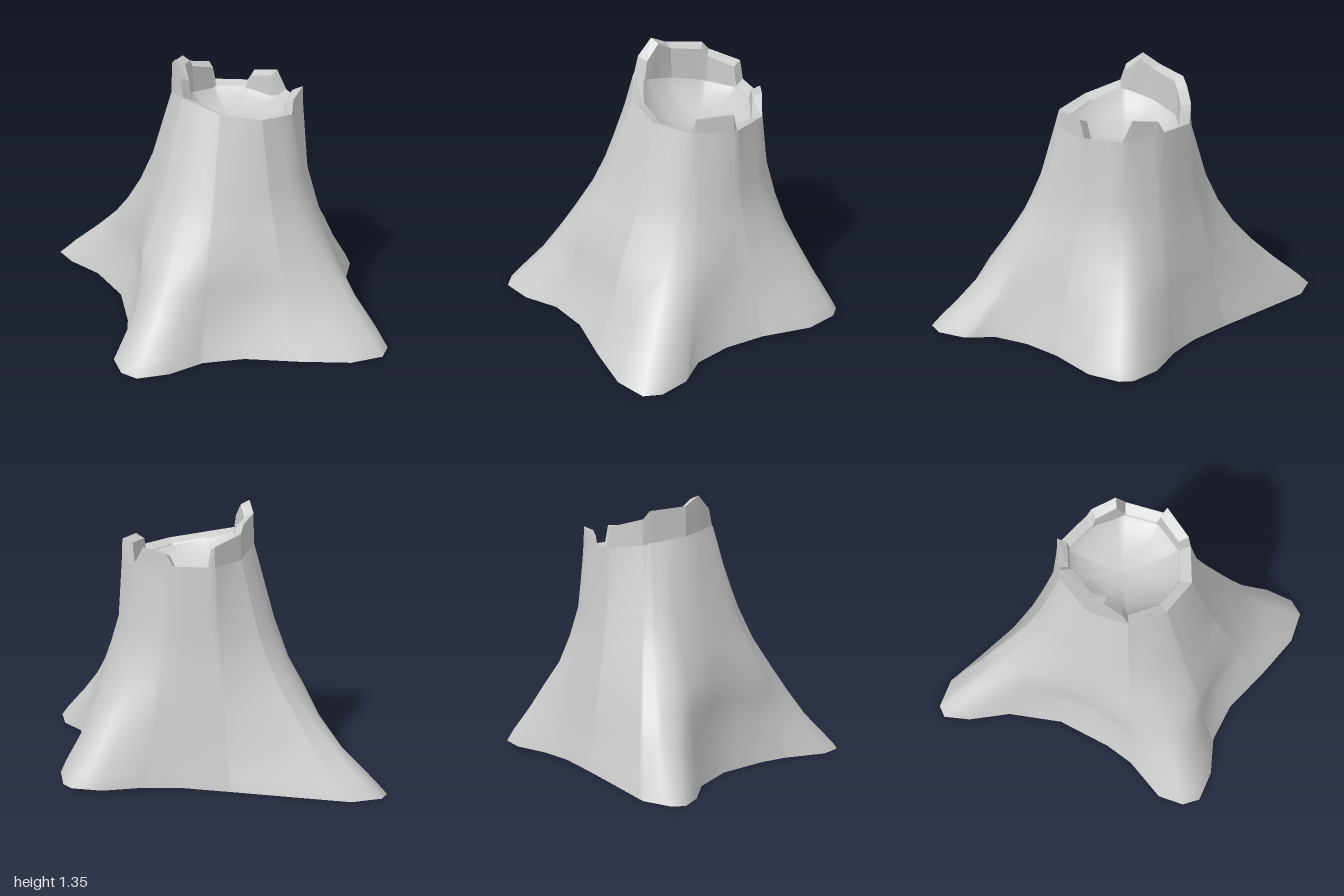
import * as THREE from 'three';

const CX = 0.09; // axis of the trunk
const TAU = Math.PI * 2;

// Footprint of the roots: [x, z]
const base = [
  [0.86, 0.01], [0.79, 0.15], [0.6, 0.32], [0.47, 0.48], [0.39, 0.65], [0.4, 0.81],
  [0.34, 0.95], [0.26, 1], [0.1, 0.95], [-0.1, 0.79], [-0.3, 0.61], [-0.49, 0.52],
  [-0.68, 0.51], [-0.83, 0.45], [-0.86, 0.36], [-0.82, 0.23], [-0.64, 0.07], [-0.55, -0.06],
  [-0.42, -0.33], [-0.39, -0.61], [-0.43, -0.83], [-0.42, -0.97], [-0.36, -1], [-0.21, -0.95],
  [0.2, -0.53], [0.39, -0.36], [0.55, -0.26], [0.74, -0.18], [0.85, -0.07],
];

// Broken rim: [x, z, height of trunk wall, height of splinter]
const rim = [
  [0.43, 0, 1.08, 1.08], [0.38, 0.19, 1.08, 1.08], [0.37, 0.21, 1.08, 1.17],
  [0.22, 0.32, 1.09, 1.16], [0.2, 0.33, 1.09, 1.09], [0, 0.34, 1.105, 1.105],
  [-0.17, 0.22, 1.14, 1.14], [-0.26, 0.04, 1.19, 1.19], [-0.25, 0.01, 1.19, 1.28],
  [-0.22, -0.08, 1.17, 1.35], [-0.18, -0.17, 1.15, 1.3], [-0.03, -0.29, 1.12, 1.28],
  [0, -0.31, 1.11, 1.24], [0.17, -0.33, 1.1, 1.2], [0.19, -0.32, 1.1, 1.1],
  [0.33, -0.2, 1.1, 1.1], [0.35, -0.17, 1.1, 1.16], [0.41, -0.05, 1.08, 1.18],
];

const angleOf = (p) => (Math.atan2(p[1], p[0] - CX) + TAU) % TAU;

// Point where a ray from the axis meets a closed outline
function hit(outline, a) {
  const dx = Math.cos(a), dz = Math.sin(a);
  for (let i = 0; i < outline.length; i++) {
    const p = outline[i], q = outline[(i + 1) % outline.length];
    const sp = (p[0] - CX) * dz - p[1] * dx;
    const sq = (q[0] - CX) * dz - q[1] * dx;
    if (sp < -1e-9 || sq > 1e-9 || sp - sq < 1e-9) continue;
    const f = sp / (sp - sq);
    const r = p.map((v, k) => v + (q[k] - v) * f);
    if ((r[0] - CX) * dx + r[1] * dz > 0) return r;
  }
  return outline[0];
}

// Radius of an outline, averaged over a window of angles to round it off
function radius(outline, a, window) {
  let sum = 0;
  for (let k = -6; k <= 6; k++) {
    const [x, z] = hit(outline, a + (window * k) / 6);
    sum += Math.hypot(x - CX, z);
  }
  return sum / 13;
}

// Skin over closed loops of [x, y, z] points
function skin(loops, flat) {
  const n = loops[0].length, index = [];
  for (let i = 0; i < loops.length - 1; i++) {
    for (let j = 0; j < n; j++) {
      const a = i * n + j, b = i * n + ((j + 1) % n);
      index.push(a, a + n, b, b, a + n, b + n);
    }
  }
  let g = new THREE.BufferGeometry();
  g.setAttribute('position', new THREE.Float32BufferAttribute(loops.flat(2), 3));
  g.setIndex(index);
  if (flat) g = g.toNonIndexed();
  g.computeVertexNormals();
  return g;
}

export function createModel() {
  const group = new THREE.Group();
  const material = new THREE.MeshStandardMaterial({ color: 0xcccccc, side: THREE.DoubleSide });
  const add = (name, geometry) => {
    const mesh = new THREE.Mesh(geometry, material);
    mesh.name = name;
    group.add(mesh);
  };

  // Flared trunk, roots fading out upward: [height, spread, lean, rounding]
  const levels = [[0, 1, 0, 0], [0.06, 0.93, 0, 0.03], [0.2, 0.74, 0.02, 0.12],
    [0.33, 0.62, 0.06, 0.25], [0.45, 0.5, 0.11, 0.38], [0.6, 0.34, 0.11, 0.45],
    [0.76, 0.2, 0.11, 0.5]];
  const angles = [...base, ...rim].map(angleOf).sort((a, b) => a - b)
    .filter((a, i, all) => i === 0 || a - all[i - 1] > 0.015);
  const trunk = levels.map(([y, spread, lean, rounding]) => angles.map((a) => {
    const inner = radius(rim, a, rounding), outer = radius(base, a, rounding);
    const r = inner + (outer - inner) * (spread - lean * Math.cos(a));
    return [
      CX + r * Math.cos(a),
      y + 0.02 * Math.max(0, Math.cos(a)) * spread,
      r * Math.sin(a),
    ];
  }));
  trunk.push(angles.map((a) => {
    const [x, z, y] = hit(rim, a);
    return [x, y, z];
  }));
  add('trunk', skin(trunk, false));

  // Splintered rim: outside, top edge and inside
  const ring = (scale, height) => rim.map((p) =>
    [CX + (p[0] - CX) * scale, height(p), p[1] * scale]);
  const innerFoot = (p) => p[2] - 0.03;
  add('brokenRim', skin([
    ring(1, (p) => p[2]),
    ring(0.99, (p) => p[3]),
    ring(0.84, (p) => p[3] - 0.02),
    ring(0.82, innerFoot),
  ], true));

  // Hollow at the top of the trunk
  const sink = (f) => (p) => innerFoot(p) * (1 - f) + 0.98 * f;
  add('hollow', skin([
    ring(0.82, innerFoot),
    ring(0.7, sink(0.4)),
    ring(0.45, sink(0.8)),
    ring(0.2, sink(0.96)),
    ring(0.001, sink(1)),
  ], false));

  return group;
}
